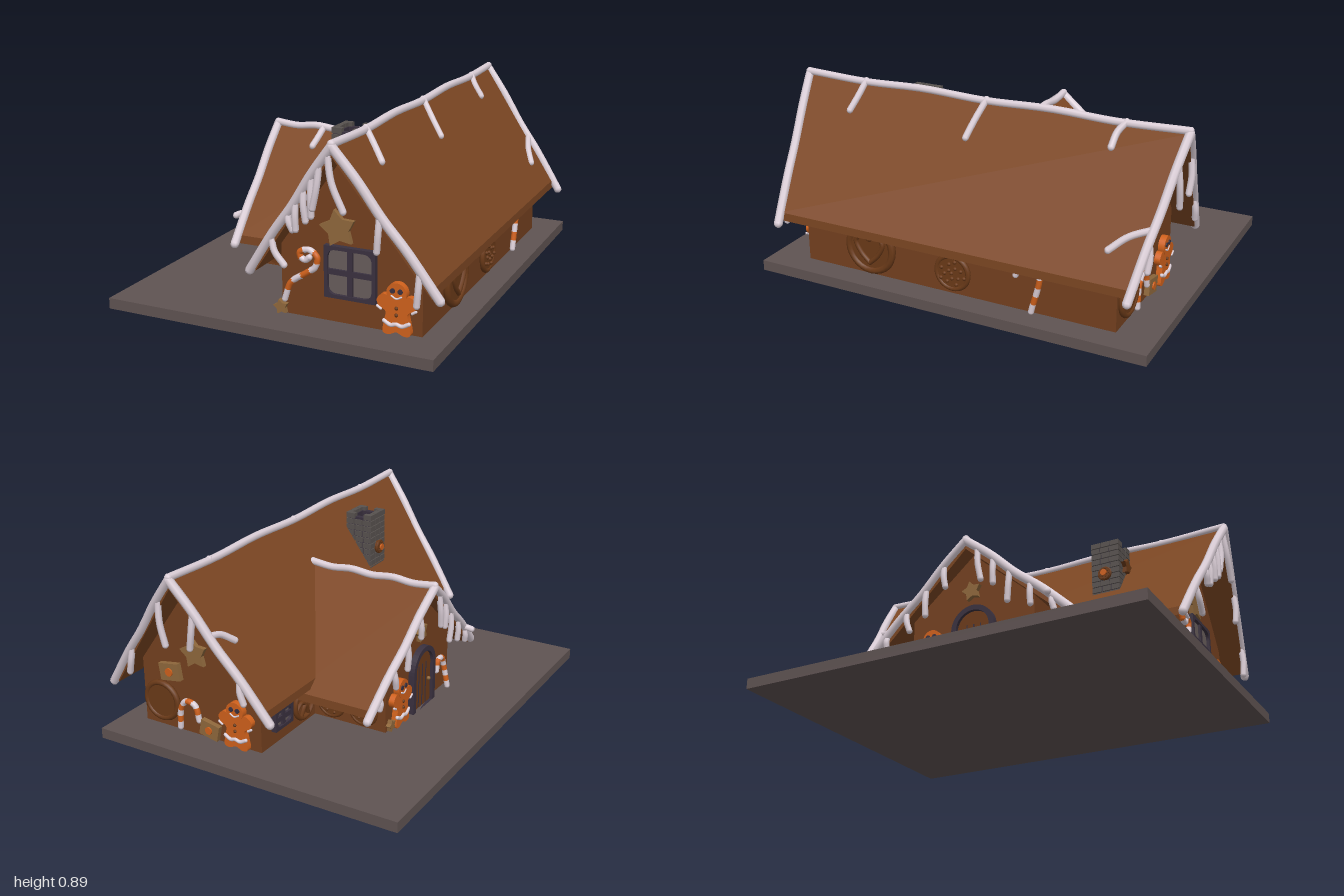
import * as THREE from 'three';
import { mergeGeometries } from 'three/addons/utils/BufferGeometryUtils.js';

const mat = (name, color) => Object.assign(new THREE.MeshStandardMaterial({ color }), { name });
const M = {
  wall: mat('gingerbread wall', 0x74401f), roof: mat('gingerbread roof', 0x7d4723),
  cookie: mat('dark cookie', 0x6b3a18), base: mat('slate base', 0x5f5352),
  icing: mat('icing', 0xdccfd8), orange: mat('orange biscuit', 0xd0611c),
  tan: mat('tan biscuit', 0x8f683c), frame: mat('dark frame', 0x3a313f),
  glass: mat('window glass', 0x685d5b), brick: mat('chimney brick', 0x58524f),
};
const V = (x, y, z = 0) => new THREE.Vector3(x, y, z);

function add(parent, name, geo, material, x = 0, y = 0, z = 0) {
  const m = new THREE.Mesh(geo, material);
  m.name = name;
  m.position.set(x, y, z);
  parent.add(m);
  return m;
}
function group(parent, name, x = 0, y = 0, z = 0, ry = 0) {
  const g = new THREE.Group();
  g.name = name;
  g.position.set(x, y, z);
  g.rotation.y = ry;
  parent.add(g);
  return g;
}
const poly = pts => new THREE.Shape(pts.map(p => new THREE.Vector2(...p)));
const extrude = (shape, depth) => new THREE.ExtrudeGeometry(shape, { depth, bevelEnabled: false, curveSegments: 10 });

// Round-ended rope of icing
function rope(parent, name, pts, r, material = M.icing) {
  const curve = new THREE.CatmullRomCurve3(pts);
  const ends = [pts[0], pts[pts.length - 1]].map(p => new THREE.SphereGeometry(r, 8, 6).translate(p.x, p.y, p.z));
  return add(parent, name, mergeGeometries([new THREE.TubeGeometry(curve, pts.length * 4, r, 8), ...ends]), material);
}

// Gabled block: walls, chevron roof with slanted ends, icing on rakes and ridge.
// Local +z is the gable front; o.front / o.back hold z at [ridge, eave].
function gabled(g, o) {
  const slope = (o.ridge - o.eave) / o.half, t = 0.04, w = o.wall;
  const wallTop = o.ridge - t - slope * w;
  add(g, 'walls', extrude(poly([[-w, 0.05], [w, 0.05], [w, wallTop], [0, o.ridge - t], [-w, wallTop]]),
    o.wallFront - o.wallBack), M.wall, 0, 0, o.wallBack);
  const geo = extrude(poly([[0, o.ridge], [-o.half, o.eave], [-o.half, o.eave - t], [0, o.ridge - t],
    [o.half, o.eave - t], [o.half, o.eave]]), 1);
  const p = geo.attributes.position;
  for (let i = 0; i < p.count; i++) {
    const e = p.getZ(i) > 0.5 ? o.front : o.back;
    p.setZ(i, THREE.MathUtils.lerp(e[0], e[1], Math.abs(p.getX(i)) / o.half));
  }
  geo.computeVertexNormals();
  add(g, 'roof', geo, M.roof);
  const at = (dx, e, lift = 0) =>
    V(dx, o.ridge + lift - slope * Math.abs(dx), THREE.MathUtils.lerp(e[0], e[1], Math.abs(dx) / o.half));
  // rake icing with hanging drips [dx, length, sideways drift]
  for (const [e, drips, s] of [[o.front, o.frontDrips, 1], [o.back, o.backDrips, -1]]) {
    if (!drips) continue;
    for (const side of [-1, 1]) {
      rope(g, 'rakeIcing', [0, 0.25, 0.5, 0.75, 1.08].map((k, i) =>
        at(side * k * o.half, e, i % 2 ? 0.012 : 0.002)), 0.021);
    }
    for (const [dx, len, drift] of drips) {
      const a = at(dx, e);
      rope(g, 'icingDrip', [a, V(a.x + drift * 0.3, a.y - len * 0.5, a.z + s * 0.008),
        V(a.x + drift, a.y - len, a.z + s * 0.004)], 0.015);
    }
  }
  // ridge icing
  const z0 = o.back[0], z1 = o.front[0];
  rope(g, 'ridgeIcing', [0, 0.17, 0.33, 0.5, 0.67, 0.83, 1].map((k, i) =>
    V(0, o.ridge + (i % 2 ? 0.002 : 0.012), z0 + (z1 - z0) * k)), 0.018);
  // drips running down the roof from the ridge or a rake: lists of [dx, z]
  for (const run of o.runs) {
    rope(g, 'roofDrip', run.map(([dx, z]) => V(dx, o.ridge + 0.008 - slope * Math.abs(dx), z)), 0.016);
  }
}

// Striped candy cane along a flat path
function cane(parent, pts, stripes = 9, r = 0.014) {
  const g = group(parent, 'candyCane', 0, 0, r);
  const curve = new THREE.CatmullRomCurve3(pts.map(p => V(...p)));
  for (let i = 0; i < stripes; i++) {
    const part = [0, 0.5, 1].map(k => curve.getPointAt((i + k) / stripes));
    rope(g, 'caneStripe', part, r, i % 2 ? M.orange : M.icing);
  }
}
function star(parent, x, y, r, material = M.tan, turn = 0.2) {
  const pts = [];
  for (let i = 0; i < 10; i++) {
    const a = i * Math.PI / 5 + Math.PI / 2 + turn, q = i % 2 ? r * 0.58 : r;
    pts.push([Math.cos(a) * q, Math.sin(a) * q]);
  }
  add(parent, 'starBiscuit', extrude(poly(pts), 0.022), material, x, y, 0);
}
const disc = (r, d) => new THREE.CylinderGeometry(r, r, d, 24).rotateX(Math.PI / 2);

// Round cookie with rim; style fills the middle
function cookie(parent, x, y, r, style) {
  const g = group(parent, 'cookie', x, y, 0);
  add(g, 'cookieRim', new THREE.TorusGeometry(r * 0.88, r * 0.14, 8, 28), M.cookie, 0, 0, 0.012);
  if (style !== 'pretzel') add(g, 'cookieDisc', disc(r * 0.9, 0.02), M.cookie, 0, 0, 0.01);
  if (style === 'pretzel') {
    for (const s of [-1, 1]) rope(g, 'pretzelTwist', [V(s * 0.8 * r, -0.25 * r, 0.012), V(s * 0.3 * r, 0.1 * r, 0.014),
      V(-s * 0.1 * r, -0.2 * r, 0.018), V(-s * 0.35 * r, -0.8 * r, 0.012)], r * 0.12, M.cookie);
    rope(g, 'pretzelTop', [V(-0.6 * r, 0.6 * r, 0.012), V(0, 0.25 * r, 0.014), V(0.6 * r, 0.6 * r, 0.012)], r * 0.12, M.cookie);
  }
  if (style === 'dots') for (let i = 0; i < 14; i++) {
    const a = i * 2.4, q = r * 0.2 * Math.sqrt(i);
    add(g, 'chip', new THREE.SphereGeometry(r * 0.1, 8, 6), M.cookie, Math.cos(a) * q, Math.sin(a) * q, 0.022);
  }
  if (style === 'heart') for (const s of [-1, 1]) rope(g, 'heartRope', [V(0, 0.35 * r, 0.024), V(s * 0.3 * r, 0.52 * r, 0.024),
    V(s * 0.55 * r, 0.25 * r, 0.024), V(s * 0.35 * r, -0.2 * r, 0.024), V(0, -0.55 * r, 0.024)], r * 0.09, M.cookie);
}
// Gingerbread figure standing on the base
function figure(parent, x) {
  const g = group(parent, 'gingerbreadFigure', x, 0.05, 0);
  const half = [[0.02, 0.16], [0.06, 0.175], [0.088, 0.15], [0.08, 0.12], [0.05, 0.1], [0.055, 0.06], [0.062, 0.01], [0.035, 0], [0.006, 0.012]];
  const pts = [...half, ...half.map(([a, b]) => [-a, b]).reverse()].map(p => new THREE.Vector2(...p));
  const body = new THREE.Shape().moveTo(pts[0].x, pts[0].y).splineThru([...pts.slice(1), pts[0]]);
  add(g, 'body', extrude(body, 0.028), M.orange);
  add(g, 'head', disc(0.045, 0.03), M.orange, 0, 0.185, 0.015);
  rope(g, 'skirtIcing', [V(-0.055, 0.058, 0.028), V(-0.025, 0.044, 0.03), V(0, 0.05, 0.03), V(0.025, 0.044, 0.03), V(0.055, 0.058, 0.028)], 0.009);
  rope(g, 'smile', [V(-0.022, 0.172, 0.03), V(0, 0.162, 0.031), V(0.022, 0.172, 0.03)], 0.004);
  for (const s of [-1, 1]) {
    add(g, 'eye', disc(0.011, 0.006), M.frame, s * 0.017, 0.195, 0.032);
    rope(g, 'cuffIcing', [V(s * 0.07, 0.108, 0.028), V(s * 0.086, 0.118, 0.028)], 0.006);
  }
  for (const y of [0.09, 0.12]) add(g, 'button', new THREE.SphereGeometry(0.008, 8, 6), M.cookie, 0, y, 0.03);
}
// Window with rounded opening and cross bars
function windowUnit(parent, x, y, w, h) {
  const g = group(parent, 'window', x, y, 0);
  const a = w / 2, b = h / 2, k = 0.016, c = w * 0.17;
  const frame = poly([[-a, -b], [a, -b], [a, b], [-a, b]]);
  const i = a - k, j = b - k;
  frame.holes.push(new THREE.Path().moveTo(-i + c, -j).lineTo(i - c, -j).quadraticCurveTo(i, -j, i, -j + c)
    .lineTo(i, j - c).quadraticCurveTo(i, j, i - c, j).lineTo(-i + c, j).quadraticCurveTo(-i, j, -i, j - c)
    .lineTo(-i, -j + c).quadraticCurveTo(-i, -j, -i + c, -j));
  add(g, 'windowFrame', extrude(frame, 0.025), M.frame);
  add(g, 'windowGlass', new THREE.BoxGeometry(w * 0.95, h * 0.95, 0.008), M.glass, 0, 0, 0.006);
  add(g, 'windowBar', new THREE.BoxGeometry(0.024, h * 0.95, 0.014), M.frame, 0, 0, 0.014);
  add(g, 'windowBar', new THREE.BoxGeometry(w * 0.95, 0.024, 0.014), M.frame, 0, 0, 0.014);
}
// Arched door with frame and planks
function door(parent, x, w, h) {
  const g = group(parent, 'door', x, 0.05, 0);
  const arch = (r, top, Type) => new Type().moveTo(-r, 0).lineTo(r, 0).lineTo(r, top).absarc(0, top, r, 0, Math.PI, false).lineTo(-r, 0);
  const outer = arch(w / 2, h - w / 2, THREE.Shape);
  outer.holes.push(arch(w / 2 - 0.025, h - w / 2, THREE.Path));
  add(g, 'doorFrame', extrude(outer, 0.03), M.frame);
  add(g, 'doorLeaf', extrude(arch(w / 2 - 0.02, h - w / 2, THREE.Shape), 0.014), M.cookie);
  for (const s of [-1, 0, 1]) add(g, 'doorGroove', new THREE.BoxGeometry(0.005, h * 0.7, 0.004), M.frame, s * 0.035, h * 0.36, 0.015);
  add(g, 'doorKnob', new THREE.SphereGeometry(0.01, 8, 6), M.tan, 0.055, h * 0.4, 0.022);
}
function squareBiscuit(parent, x, y, size, turn) {
  const m = add(parent, 'squareBiscuit', new THREE.BoxGeometry(size, size * 0.75, 0.025), M.tan, x, y, 0.012);
  m.rotation.z = turn;
  add(m, 'squareCentre', disc(size * 0.18, 0.008), M.orange, 0, 0, 0.015);
}

// Hollow brick chimney
function chimney(parent) {
  const g = group(parent, 'chimney', 0.17, 0, 0.41);
  const s = 0.066, n = s - 0.025, rowH = 0.03;
  const ring = poly([[-s, -s], [s, -s], [s, s], [-s, s]]);
  ring.holes.push(poly([[-n, -n], [-n, n], [n, n], [n, -n]]));
  add(g, 'mortar', extrude(ring, 0.29).rotateX(-Math.PI / 2), M.frame, 0, 0.51, 0);
  const bricks = [];
  for (let row = 0; row < 10; row++) for (let side = 0; side < 4; side++) for (let i = 0; i < 3; i++) {
    if (row === 9 && i === 1 && side % 2 === 0) continue;
    const x = (i - 1) * 0.047 + (row % 2 ? 0.003 : -0.003);
    bricks.push(new THREE.BoxGeometry(0.043, rowH - 0.004, 0.026).translate(x, 0.535 + row * rowH, s - 0.007).rotateY(side * Math.PI / 2));
  }
  add(g, 'bricks', mergeGeometries(bricks), M.brick);
  star(group(g, 'chimneyFront', 0, 0, 0.07), 0, 0.69, 0.045, M.cookie, 0);
  const left = group(g, 'chimneySide', -0.07, 0, 0, -Math.PI / 2);
  cookie(left, 0, 0.64, 0.035, 'dots');
  add(left, 'orangeSweet', disc(0.016, 0.008), M.orange, 0, 0.64, 0.026);
}

export function createModel() {
  const root = new THREE.Group();
  root.name = 'gingerbreadHouse';
  add(root, 'basePlate', new THREE.BoxGeometry(1.55, 0.05, 1.94), M.base, -0.005, 0.025, -0.013);

  // main house
  gabled(group(root, 'mainHouse', 0.325), {
    half: 0.4, ridge: 0.86, eave: 0.3, wall: 0.325, wallFront: 0.77, wallBack: -0.8,
    front: [0.945, 0.865], back: [-0.97, -0.89],
    frontDrips: [[-0.31, 0.11, 0.06], [-0.22, 0.07, 0.02], [-0.18, 0.12, 0], [-0.14, 0.13, 0.01], [-0.1, 0.16, 0],
      [-0.06, 0.18, -0.03], [-0.02, 0.23, 0.07], [0.19, 0.15, -0.01], [0.35, 0.14, -0.01]],
    backDrips: [[-0.3, 0.1, -0.02], [-0.1, 0.16, 0.02], [0.08, 0.2, -0.03], [0.28, 0.12, 0.02]],
    runs: [[[0, 0.62], [0.05, 0.64], [0.09, 0.66]], [[0, -0.02], [0.06, 0.01], [0.11, 0.03]], [[0, -0.69], [0.03, -0.66], [0.07, -0.65]],
      [[0.25, -0.92], [0.28, -0.82], [0.32, -0.75]], [[-0.17, -0.94], [-0.18, -0.87], [-0.21, -0.81]]],
  });
  // side wing, gable facing -x
  gabled(group(root, 'sideWing', 0, 0, -0.045, -Math.PI / 2), {
    half: 0.49, ridge: 0.67, eave: 0.243, wall: 0.315, wallFront: 0.38, wallBack: -0.1,
    front: [0.455, 0.41], back: [-0.2, 0],
    frontDrips: [[-0.44, 0.05, 0], [-0.33, 0.09, 0.02], [-0.22, 0.13, 0], [-0.12, 0.1, 0.01], [0.06, 0.16, 0.02],
      [0.14, 0.12, 0], [0.22, 0.15, -0.01], [0.32, 0.1, 0], [0.42, 0.06, 0.01]],
    runs: [[[0, 0.2], [0.05, 0.21], [0.09, 0.22]], [[0.41, 0.42], [0.41, 0.44], [0.42, 0.46]]],
  });
  chimney(root);

  // front gable
  const front = group(root, 'frontDecor', 0, 0, 0.77);
  windowUnit(front, 0.33, 0.28, 0.235, 0.23);
  star(front, 0.275, 0.47, 0.085);
  star(front, 0, 0.08, 0.036);
  figure(front, 0.545);
  cane(front, [[0.02, 0.12], [0.05, 0.2], [0.12, 0.25], [0.17, 0.29], [0.175, 0.335], [0.13, 0.36], [0.09, 0.335], [0.115, 0.31], [0.14, 0.325]]);

  // long right wall, local x runs toward the back
  const side = group(root, 'rightDecor', 0.65, 0, 0, Math.PI / 2);
  cookie(side, -0.41, 0.19, 0.13, 'heart');
  cookie(side, 0.02, 0.16, 0.09, 'dots');
  cane(side, [[0.41, 0.06], [0.45, 0.24], [0.43, 0.29], [0.37, 0.29], [0.335, 0.22]]);

  // back gable, local x is mirrored
  const back = group(root, 'backDecor', 0, 0, -0.8, Math.PI);
  cookie(back, -0.54, 0.18, 0.1, 'plain');
  star(back, -0.34, 0.46, 0.075);
  squareBiscuit(back, -0.48, 0.34, 0.11, 0.15);
  squareBiscuit(back, -0.27, 0.1, 0.1, -0.2);
  cane(back, [[-0.44, 0.07], [-0.43, 0.17], [-0.4, 0.21], [-0.35, 0.2], [-0.33, 0.13]]);
  figure(back, -0.12);

  // left wall of the main house behind the wing
  const left = group(root, 'leftDecor', 0, 0, 0, -Math.PI / 2);
  windowUnit(left, -0.65, 0.17, 0.14, 0.1);
  cookie(left, -0.47, 0.16, 0.085, 'pretzel');

  // wing side walls
  const wingFront = group(root, 'wingFrontDecor', 0, 0, 0.27);
  cookie(wingFront, -0.11, 0.15, 0.1, 'pretzel');
  const bitten = new THREE.Shape().absarc(0, 0, 0.075, 2.5, 6.6, false).lineTo(0.03, 0).lineTo(0, 0.03).lineTo(-0.03, 0.02);
  add(wingFront, 'bittenCookie', extrude(bitten, 0.02), M.cookie, -0.29, 0.14, 0);
  const wingBack = group(root, 'wingBackDecor', 0, 0, -0.36, Math.PI);
  for (const x of [0.1, 0.27]) cookie(wingBack, x, 0.14, 0.075, 'dots');

  // wing gable
  const gable = group(root, 'wingGableDecor', -0.38, 0, 0, -Math.PI / 2);
  door(gable, -0.03, 0.22, 0.31);
  figure(gable, -0.245);
  star(gable, -0.045, 0.44, 0.05);
  cane(gable, [[0.21, 0.06, 0.02], [0.2, 0.18], [0.18, 0.22], [0.14, 0.22], [0.125, 0.17]]);
  star(gable, -0.33, 0.08, 0.03);
  return root;
}
